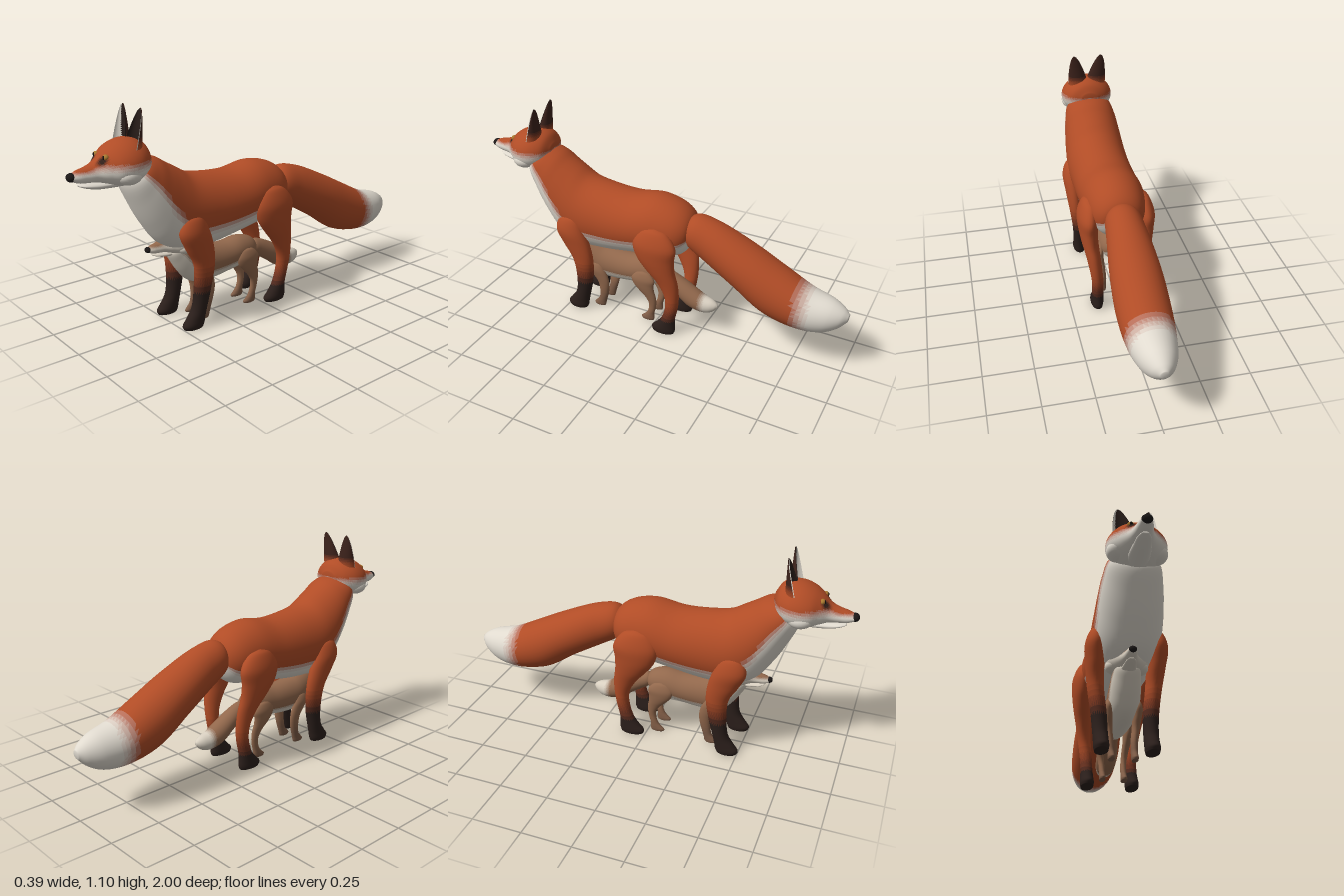
import * as THREE from 'three';

const ADULT = { coat: 0xb04c26, pale: 0xe0dacf, sock: 0x2b1f1b, ear: 0x3c221b };
const CUB = { coat: 0x92684c, pale: 0xd8cfc0, sock: 0x7b5a45, ear: 0x4a3328 };
const smooth = THREE.MathUtils.smoothstep;

// Stepped blend of two colours, used to fade one fur tone into another
const mix = (a, b, t) =>
  new THREE.Color(a).lerp(new THREE.Color(b), Math.round(t * 7) / 7).getHex();

// Splits an indexed surface into one mesh per colour, keeping the shared smooth normals
function colouredMeshes(name, positions, index, colourAt, side = THREE.FrontSide) {
  const whole = new THREE.BufferGeometry();
  whole.setAttribute('position', new THREE.Float32BufferAttribute(positions, 3));
  whole.setIndex(index);
  whole.computeVertexNormals();
  const buckets = new Map();
  for (let i = 0; i < index.length; i += 3) {
    const tri = index.slice(i, i + 3);
    const c = [0, 1, 2].map(k => tri.reduce((s, v) => s + positions[v * 3 + k], 0) / 3);
    const colour = colourAt(c[0], c[1], c[2], tri);
    if (!buckets.has(colour)) buckets.set(colour, []);
    buckets.get(colour).push(...tri);
  }
  const group = new THREE.Group();
  group.name = name;
  for (const [color, tris] of buckets) {
    const geometry = new THREE.BufferGeometry();
    geometry.setAttribute('position', whole.getAttribute('position'));
    geometry.setAttribute('normal', whole.getAttribute('normal'));
    geometry.setIndex(tris);
    const part = new THREE.Mesh(geometry.toNonIndexed(), new THREE.MeshStandardMaterial({ color, side }));
    part.name = name + 'Fur';
    group.add(part);
  }
  return group;
}

// Closed loft through oval rings. Row: [z1, y1, z2, y2, halfWidth, x], where 1 and 2
// are the two ends of the ring's axis. skew widens the ring towards end 2.
function loft(name, rows, colourAt, { steps = 44, sides = 32, skew = 0 } = {}) {
  const a = new THREE.CatmullRomCurve3(rows.map(r => new THREE.Vector3(r[5] || 0, r[1], r[0])), false, 'centripetal');
  const b = new THREE.CatmullRomCurve3(rows.map(r => new THREE.Vector3(r[4], r[3], r[2])), false, 'centripetal');
  const pos = [], idx = [];
  for (let i = -1; i <= steps + 1; i++) {
    const t = THREE.MathUtils.clamp(i / steps, 0, 1);
    const open = i < 0 || i > steps ? 0 : 1;
    const p = a.getPoint(t), q = b.getPoint(t);
    for (let j = 0; j < sides; j++) {
      const th = (j / sides) * Math.PI * 2, c = Math.cos(th) * open;
      pos.push(p.x + Math.max(q.x, 0.002) * Math.sin(th) * open * (1 - skew * c),
        (p.y + q.y) / 2 + (p.y - q.y) / 2 * c, (p.z + q.z) / 2 + (p.z - q.z) / 2 * c);
    }
  }
  for (let i = 0; i < steps + 2; i++) {
    for (let j = 0; j < sides; j++) {
      const k = (j + 1) % sides, A = i * sides + j, B = i * sides + k, C = A + sides, D = B + sides;
      if (i > 0) idx.push(A, B, C);
      else idx.push(B, D, C);
      if (i > 0 && i < steps + 1) idx.push(B, D, C);
    }
  }
  // Turn the faces outward
  let volume = 0;
  const v = n => new THREE.Vector3().fromArray(pos, n * 3);
  for (let i = 0; i < idx.length; i += 3) volume += v(idx[i]).dot(v(idx[i + 1]).cross(v(idx[i + 2])));
  if (volume < 0) for (let i = 0; i < idx.length; i += 3) [idx[i], idx[i + 1]] = [idx[i + 1], idx[i]];
  return colouredMeshes(name, pos, idx, (x, y, z, tri) =>
    colourAt(x, y, z, Math.cos(((tri[0] % sides) / sides) * Math.PI * 2)));
}

function ball(name, color, [x, y, z], [rx, ry, rz]) {
  const m = new THREE.Mesh(new THREE.SphereGeometry(1, 24, 16), new THREE.MeshStandardMaterial({ color }));
  m.name = name;
  m.position.set(x, y, z);
  m.scale.set(rx, ry, rz);
  return m;
}

function makeBody(c) {
  return loft('body', [
    [-.188, .61, -.188, .57, .02], [-.178, .665, -.178, .51, .085], [-.12, .715, -.13, .45, .13],
    [0, .745, 0, .42, .155], [.15, .725, .15, .395, .16], [.3, .735, .3, .372, .16],
    [.4, .755, .44, .372, .162], [.46, .79, .55, .425, .158], [.52, .825, .63, .53, .15],
    [.57, .855, .69, .64, .138], [.63, .868, .735, .745, .115], [.67, .86, .73, .79, .07],
  ], (x, y, z, v) => {
    const edge = -.25 + .35 * smooth(z, .4, .65);
    return mix(c.pale, c.coat, smooth(v, edge - .35, edge + .05));
  }, { steps: 64, sides: 48 });
}

// Rows: [y, z, x, half depth, half width]
function makeLeg(name, rows, side, fade, c) {
  return loft(name, rows.map(([y, z, x, d, w]) => [z + d, y, z - d, y, w, x * side]),
    (x, y) => mix(c.sock, c.coat, smooth(y, fade - .1, fade + .1)), { steps: 48, sides: 24 });
}

const FRONT_LEG = [
  [.585, .45, .13, .02, .015], [.565, .453, .135, .055, .035], [.5, .45, .143, .08, .047],
  [.42, .42, .14, .076, .043], [.33, .39, .133, .058, .038], [.2, .392, .118, .046, .036],
  [.1, .41, .113, .041, .034], [.05, .432, .112, .052, .034], [.02, .445, .112, .06, .034], [.002, .445, .112, .052, .03]];
const HIND_LEG = [
  [.63, -.03, .13, .02, .015], [.61, -.032, .135, .07, .035], [.54, -.037, .145, .115, .05],
  [.47, -.04, .145, .105, .048], [.4, -.065, .14, .082, .042], [.33, -.1, .13, .059, .036],
  [.25, -.122, .12, .04, .032], [.17, -.12, .112, .034, .03], [.09, -.1, .11, .037, .03],
  [.05, -.085, .11, .052, .032], [.02, -.072, .11, .066, .033], [.002, -.072, .11, .06, .03]];

function makeTail(c) {
  return loft('tail', [
    [-.15, .65, -.15, .53, .06], [-.2, .68, -.18, .5, .085], [-.3, .665, -.27, .445, .1],
    [-.5, .58, -.43, .35, .122], [-.66, .5, -.59, .247, .127], [-.8, .432, -.77, .208, .113],
    [-.92, .4, -.88, .22, .085], [-.975, .37, -.95, .258, .052], [-1, .345, -.995, .305, .018],
  ], (x, y, z) => mix(c.pale, c.coat, smooth(z, -.84, -.72)), { steps: 56 });
}

// Cupped ear, open to the front, with a pale outer lining
function makeEar(side, c) {
  const pos = [], idx = [], rows = 20, cols = 16;
  for (let i = 0; i <= rows; i++) {
    const t = i / rows, half = .062 * Math.pow(1 - t, .6) * (1 - .12 * (1 - t)) + .001;
    for (let j = 0; j <= cols; j++) {
      const u = (j / cols) * Math.PI;
      pos.push(side * (.047 + .026 * t + half * Math.cos(u)), .92 + .176 * t,
        .712 - .045 * t - .05 * (1 - t) * Math.sin(u));
    }
  }
  for (let i = 0; i < rows; i++) for (let j = 0; j < cols; j++) {
    const A = i * (cols + 1) + j, B = A + 1, C = A + cols + 1, D = C + 1;
    idx.push(...(side > 0 ? [A, C, B, B, C, D] : [A, B, C, B, D, C]));
  }
  const ear = new THREE.Group();
  ear.name = side > 0 ? 'leftEar' : 'rightEar';
  const back = colouredMeshes('earBack', pos, idx, (x, y) => mix(c.coat, c.ear, smooth(y, .92, .98)), THREE.DoubleSide);
  const inner = pos.map((p, n) => n % 3 === 2 ? p + .004 : p);
  const lining = colouredMeshes('earLining', inner, idx,
    (x, y, z, tri) => (tri[0] % (cols + 1)) < 5 ? c.pale : c.sock, THREE.DoubleSide);
  ear.add(back, lining);
  return ear;
}

function makeHead(c) {
  const head = new THREE.Group();
  head.name = 'head';
  const face = (x, y, z) => {
    const base = mix(c.pale, c.coat, smooth(y, .825, .88 - .03 * smooth(z, .84, .92)));
    const patch = Math.hypot(Math.abs(x) - .042, (y - .883) * 1.1, (z - .85) * .6);
    return mix(0x33211b, base, smooth(patch, .008, .034));
  };
  head.add(loft('skull', [
    [.612, .895, .612, .85, .04], [.64, .94, .64, .79, .1], [.69, .961, .69, .76, .132],
    [.74, .96, .74, .752, .137], [.79, .942, .79, .762, .122], [.83, .915, .83, .775, .088],
    [.87, .878, .87, .787, .055], [.91, .862, .91, .79, .041], [.95, .852, .95, .795, .033],
    [.985, .838, .985, .81, .022],
  ], face, { steps: 60, sides: 48, skew: .1 }));
  head.add(loft('lowerJaw', [
    [.72, .79, .72, .748, .05], [.8, .79, .8, .75, .048], [.87, .788, .87, .755, .04],
    [.92, .788, .92, .768, .03], [.945, .787, .945, .778, .014]], () => c.pale, { steps: 24, sides: 24 }));
  head.add(ball('nose', 0x1c1817, [0, .825, .979], [.025, .02, .021]));
  for (const s of [1, -1]) {
    head.add(ball('cheek', c.pale, [s * .085, .812, .745], [.052, .042, .06]));
    head.add(ball('eye', 0xa87830, [s * .042, .897, .832], [.017, .013, .013]));
    head.add(ball('pupil', 0x14100e, [s * .042, .897, .842], [.007, .009, .005]));
    head.add(makeEar(s, c));
  }
  return head;
}

// Trunk and the four legs
function makeTorso(c, fade) {
  const torso = new THREE.Group();
  torso.name = 'torso';
  torso.add(makeBody(c));
  for (const s of [1, -1]) {
    const label = s > 0 ? 'left' : 'right';
    torso.add(makeLeg(label + 'FrontLeg', FRONT_LEG, s, fade, c));
    torso.add(makeLeg(label + 'HindLeg', HIND_LEG, s, fade - .1, c));
  }
  return torso;
}

export function createModel() {
  const model = new THREE.Group();
  model.name = 'foxWithCub';

  const adult = new THREE.Group();
  adult.name = 'adultFox';
  adult.add(makeTorso(ADULT, .25), makeTail(ADULT), makeHead(ADULT));

  // The cub stands beneath, with a larger head and shorter tail for its size
  const cub = new THREE.Group();
  cub.name = 'foxCub';
  const torso = makeTorso(CUB, .2), tail = makeTail(CUB), head = makeHead(CUB);
  torso.scale.set(.47, .485, .57);
  torso.position.z = .09;
  tail.scale.set(.4, .42, .385);
  tail.position.set(0, .03, .055);
  head.scale.setScalar(.72);
  head.position.set(0, .41 - .825 * .72, .63 - .72);
  cub.add(torso, tail, head);

  model.add(adult, cub);
  return model;
}
